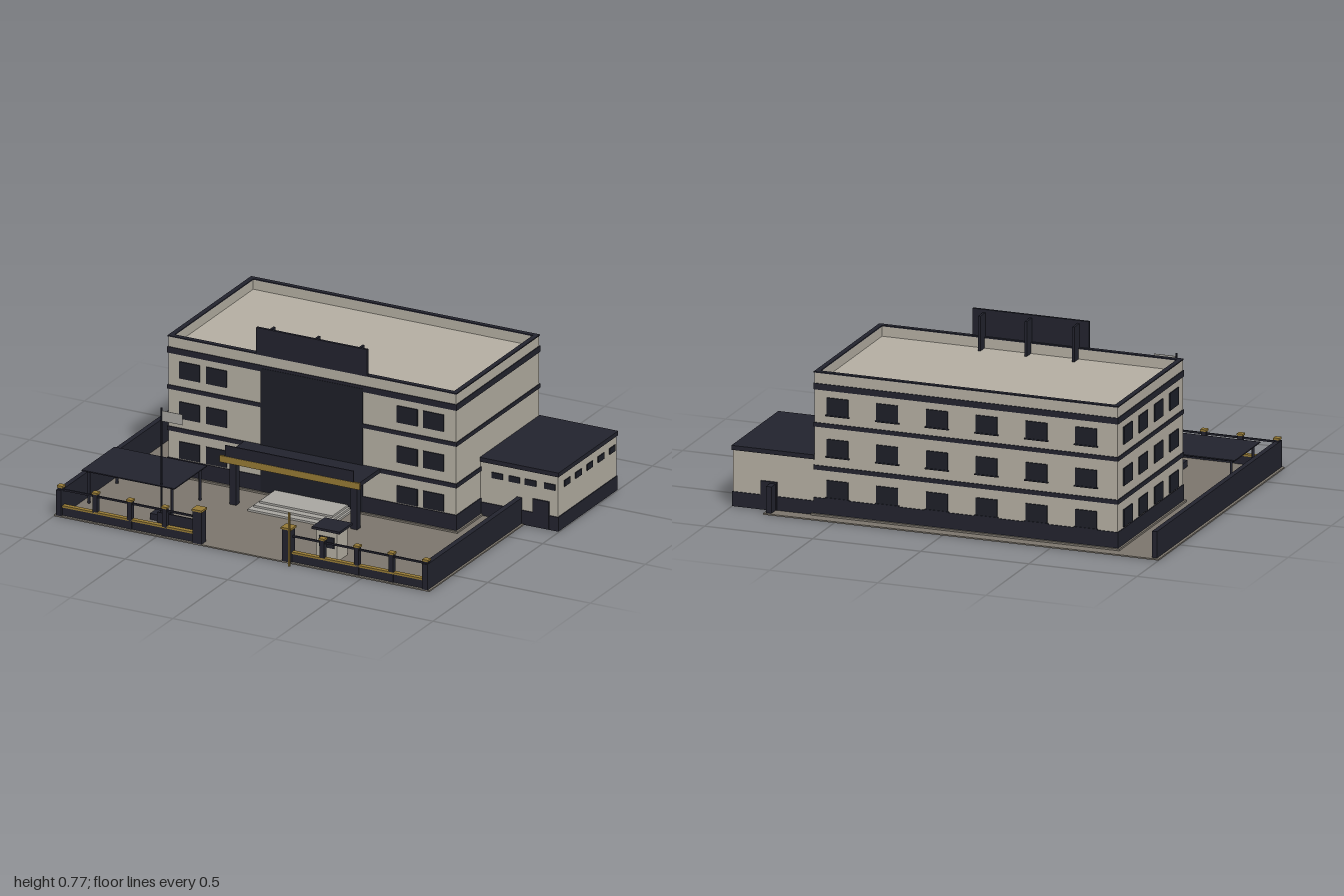
import * as THREE from 'three';

const mat = (name, color) => {
  const m = new THREE.MeshStandardMaterial({ color });
  m.name = name;
  return m;
};

export function createModel() {
  const wall = mat('warm grey wall', 0xb5afa3);
  const navy = mat('dark navy trim', 0x22232e);
  const glass = mat('dark glass', 0x1d1f28);
  const gold = mat('ochre gold', 0x967a35);
  const paving = mat('paving', 0x7c766d);
  const stone = mat('pale stone', 0xa9a7a2);
  const root = new THREE.Group();

  const group = (name) => {
    const g = new THREE.Group();
    g.name = name;
    root.add(g);
    return g;
  };
  // Box given by its limits on each axis
  const box = (parent, name, m, x0, x1, y0, y1, z0, z1) => {
    const mesh = new THREE.Mesh(new THREE.BoxGeometry(x1 - x0, y1 - y0, z1 - z0), m);
    mesh.position.set((x0 + x1) / 2, (y0 + y1) / 2, (z0 + z1) / 2);
    mesh.name = name;
    parent.add(mesh);
    return mesh;
  };
  const rod = (parent, name, m, x, z, r, y0, y1) => {
    const mesh = new THREE.Mesh(new THREE.CylinderGeometry(r, r, y1 - y0, 10), m);
    mesh.position.set(x, (y0 + y1) / 2, z);
    mesh.name = name;
    parent.add(mesh);
  };

  // Ground slab and side walls
  const site = group('site');
  box(site, 'ground', paving, -1, 0.83, 0, 0.006, -0.75, 0.715);
  box(site, 'leftBoundaryWall', navy, -0.988, -0.965, 0, 0.125, -0.738, 0.715);
  box(site, 'rightBoundaryWall', navy, 0.795, 0.82, 0, 0.125, -0.738, 0.715);

  // Main block with recessed roof
  const X0 = -0.785, X1 = 0.617, Z0 = -0.685, Z1 = 0.072, H = 0.65, T = 0.018;
  const main = group('mainBuilding');
  box(main, 'apron', paving, X0 - 0.013, X1 + 0.013, 0, 0.014, Z0 - 0.013, Z1 + 0.013);
  box(main, 'body', wall, X0, X1, 0.006, 0.6, Z0, Z1);
  const ring = (name, m, y0, y1, grow, t) => {
    const a = X0 - grow, b = X1 + grow, c = Z0 - grow, d = Z1 + grow;
    box(main, name, m, a, b, y0, y1, d - t, d);
    box(main, name, m, a, b, y0, y1, c, c + t);
    box(main, name, m, a, a + t, y0, y1, c + t, d - t);
    box(main, name, m, b - t, b, y0, y1, c + t, d - t);
  };
  ring('parapet', wall, 0.6, H - 0.005, 0, T);
  ring('parapetCap', navy, H - 0.005, H, 0.003, T + 0.005);
  ring('plinth', navy, 0.006, 0.085, 0.004, 0.01);
  for (const [y0, y1] of [[0.21, 0.23], [0.403, 0.422], [0.57, 0.598]]) {
    ring('floorBand', navy, y0, y1, 0.004, 0.01);
  }

  // Windows: frame with glass on front, back and left side, three floors
  const windows = group('windows');
  const w = 0.05, h = 0.039;
  for (const y of [0.129, 0.314, 0.5]) {
    for (const x of [-0.68, -0.55, 0.38, 0.507]) {
      box(windows, 'frontWindow', glass, x - w, x + w, y - h, y + h, Z1, Z1 + 0.005);
    }
    for (let i = 0; i < 6; i++) {
      const x = 0.51 - i * 0.23;
      box(windows, 'backWindow', glass, x - w, x + w, y - h, y + h, Z0 - 0.005, Z0);
      box(windows, 'backSill', navy, x - w - 0.005, x + w + 0.005, y - h - 0.005, y - h, Z0 - 0.008, Z0);
    }
    for (let i = 0; i < 4; i++) {
      const z = -0.57 + i * 0.178;
      box(windows, 'leftWindow', glass, X0 - 0.005, X0, y - h, y + h, z - w, z + w);
    }
  }

  // Dark glazed centre of the front
  box(main, 'entrancePanel', glass, -0.332, 0.163, 0.006, 0.585, Z1, Z1 + 0.006);

  // Blank roof board with fins behind it
  const board = group('roofBoard');
  box(board, 'boardPanel', navy, -0.355, 0.185, 0.645, 0.77, 0.064, 0.076);
  for (const x of [-0.305, -0.085, 0.13]) {
    box(board, 'boardFin', navy, x - 0.005, x + 0.005, 0.6, 0.757, 0.005, 0.064);
  }

  // Entrance canopy, columns and steps
  const entrance = group('entrance');
  box(entrance, 'canopy', navy, -0.415, 0.247, 0.21, 0.23, Z1, 0.268);
  box(entrance, 'canopyFascia', gold, -0.425, 0.255, 0.205, 0.235, 0.268, 0.278);
  box(entrance, 'canopyBoard', navy, -0.4, 0.225, 0.235, 0.286, 0.27, 0.276);
  for (const x of [-0.375, 0.215]) {
    box(entrance, 'column', navy, x - 0.016, x + 0.016, 0.006, 0.21, 0.222, 0.252);
  }
  for (let i = 0; i < 3; i++) {
    const s = i * 0.022;
    box(entrance, 'step', stone, -0.285 + s / 2, 0.115 - s / 2, 0.006 + i * 0.009, 0.015 + i * 0.009, Z1, 0.285 - s * 1.5);
  }

  // Side annex
  const annex = group('annex');
  box(annex, 'annexBody', wall, X1, 0.994, 0.068, 0.255, -0.683, -0.15);
  box(annex, 'annexPlinth', navy, X1, 0.998, 0.002, 0.068, -0.687, -0.146);
  box(annex, 'annexRoof', navy, X1, 1, 0.255, 0.275, -0.689, -0.144);
  for (const x of [0.7, 0.782, 0.862, 0.955]) {
    box(annex, 'annexFrontWindow', glass, x - 0.027, x + 0.027, 0.189, 0.216, -0.15, -0.145);
  }
  for (let i = 0; i < 5; i++) {
    const z = -0.23 - i * 0.103;
    box(annex, 'annexSideWindow', glass, 0.994, 0.999, 0.19, 0.218, z - 0.026, z + 0.026);
  }
  box(annex, 'annexFrontDoor', navy, 0.873, 0.953, 0.006, 0.132, -0.15, -0.143);
  box(annex, 'annexBackDoor', navy, 0.79, 0.865, 0.006, 0.132, -0.691, -0.683);

  // Front fence: low wall, gold coping, posts, rail and gate piers
  const fence = group('frontFence');
  const FZ = 0.694;
  for (const [x0, x1, posts, pier] of [
    [-0.985, -0.3, [-0.975, -0.806, -0.637, -0.468], -0.302],
    [0.135, 0.817, [0.3, 0.469, 0.637, 0.805], 0.133],
  ]) {
    box(fence, 'lowWall', navy, x0, x1, 0.006, 0.043, FZ - 0.009, FZ + 0.009);
    box(fence, 'coping', gold, x0, x1, 0.043, 0.052, FZ - 0.011, FZ + 0.011);
    box(fence, 'rail', navy, x0, x1, 0.118, 0.126, FZ - 0.004, FZ + 0.004);
    for (const x of posts) {
      box(fence, 'post', navy, x - 0.011, x + 0.011, 0.006, 0.133, FZ - 0.011, FZ + 0.011);
      box(fence, 'postCap', gold, x - 0.014, x + 0.014, 0.133, 0.142, FZ - 0.014, FZ + 0.014);
    }
    box(fence, 'gatePier', navy, pier - 0.021, pier + 0.021, 0.006, 0.155, FZ - 0.021, FZ + 0.021);
    box(fence, 'gatePierCap', gold, pier - 0.025, pier + 0.025, 0.155, 0.164, FZ - 0.025, FZ + 0.025);
  }
  box(fence, 'slidingGate', navy, -0.515, -0.305, 0.012, 0.1, 0.674, 0.68);
  box(fence, 'barrierArm', gold, 0.158, 0.165, 0, 0.25, 0.738, 0.745);

  // Parking shelter
  const shelter = group('parkingShelter');
  box(shelter, 'shelterRoof', navy, -0.955, -0.503, 0.157, 0.162, 0.248, 0.545);
  box(shelter, 'shelterBeam', navy, -0.945, -0.51, 0.15, 0.158, 0.265, 0.275);
  for (const x of [-0.93, -0.525]) {
    for (const z of [0.27, 0.525]) rod(shelter, 'shelterPost', navy, x, z, 0.006, 0.006, 0.158);
  }

  // Flagpole
  const flag = group('flagpole');
  box(flag, 'flagBase', navy, -0.61, -0.535, 0.006, 0.035, 0.495, 0.567);
  rod(flag, 'pole', navy, -0.573, 0.532, 0.004, 0.035, 0.52);
  box(flag, 'flagCloth', stone, -0.57, -0.47, 0.458, 0.507, 0.531, 0.533);

  // Guard booth
  const booth = group('guardBooth');
  box(booth, 'boothBody', wall, 0.228, 0.327, 0.006, 0.142, 0.52, 0.615);
  box(booth, 'boothRoof', navy, 0.21, 0.345, 0.142, 0.153, 0.508, 0.627);
  box(booth, 'boothFrontWindow', glass, 0.24, 0.315, 0.065, 0.115, 0.615, 0.619);
  box(booth, 'boothSideWindow', glass, 0.224, 0.228, 0.065, 0.115, 0.535, 0.6);

  return root;
}
